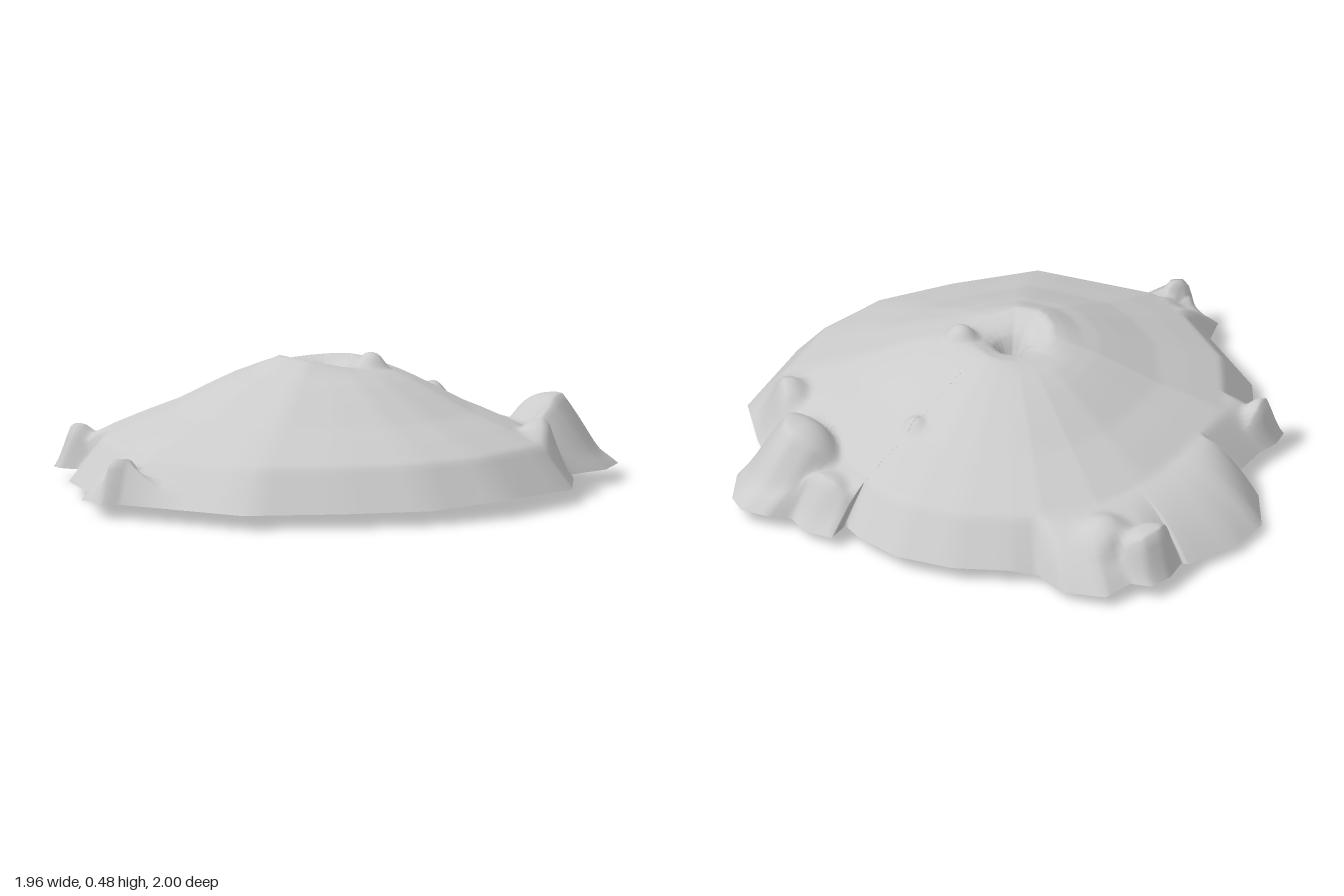
import * as THREE from 'three';

const { lerp, clamp } = THREE.MathUtils;
const CENTRE = [0.06, -0.04];
const BASE = 0.05;

// Shoreline of the whole shell, counter-clockwise from above: x, z, optional height
const SHORE = [
  [0.975, -0.07, 0.06], [0.9, -0.45], [0.73, -0.61], [0.65, -0.67], [0.65, -0.83], [0.57, -0.96], [0.5, -1],
  [0.41, -0.98], [0.34, -0.92, 0.035], [0.26, -0.95, 0.03], [0.15, -0.94, 0.04], [0.15, -0.86], [0.07, -0.89],
  [-0.11, -0.91], [-0.31, -0.85], [-0.48, -0.74], [-0.56, -0.68, 0.03], [-0.69, -0.715, 0.03], [-0.84, -0.66, 0.04],
  [-0.86, -0.55], [-0.93, -0.52], [-0.945, -0.43], [-0.9, -0.31, 0.03], [-0.925, -0.3, 0.03],
  [-0.98, -0.1, 0.03], [-0.965, 0.06, 0.03], [-0.81, 0.24, 0], [-0.715, 0.23, 0.01], [-0.71, 0.26],
  [-0.69, 0.4], [-0.7, 0.48], [-0.68, 0.55], [-0.64, 0.56], [-0.57, 0.53], [-0.4, 0.73], [-0.1, 0.88],
  [-0.06, 0.975], [0, 0.96], [0.05, 1], [0.11, 0.94], [0.57, 0.79], [0.78, 0.5], [0.93, 0.23],
];

// Foot of the central hill
const FOOT = [
  [0.975, -0.07], [0.9, -0.45], [0.73, -0.61], [0.6, -0.7], [0.3, -0.82], [0.07, -0.89], [-0.11, -0.91],
  [-0.31, -0.85], [-0.48, -0.74], [-0.58, -0.66], [-0.7, -0.45], [-0.75, -0.2], [-0.73, 0], [-0.71, 0.2],
  [-0.67, 0.42], [-0.57, 0.53], [-0.4, 0.73], [-0.1, 0.88], [0.11, 0.93], [0.57, 0.79], [0.78, 0.5], [0.93, 0.23],
];

// Hill section from the crater pit to the skirt: fraction of radius, height
const PROFILE = [
  [0, 0.27], [0.03, 0.34], [0.06, 0.41], [0.1, 0.437], [0.17, 0.455], [0.22, 0.445], [0.27, 0.43], [0.36, 0.4],
  [0.45, 0.362], [0.6, 0.295], [0.73, 0.25], [0.87, 0.197],
];
const [SKIRT, SKIRT_TOP] = PROFILE[PROFILE.length - 1];

// Knolls on and around the hill: x, z, radius x, radius z, top, bluntness, width of the outer slope
const KNOLLS = [
  [0.47, -0.76, 0.24, 0.21, 0.305, 3, 0.19],
  [0.68, -0.5, 0.17, 0.16, 0.27, 2, 0.1],
  [0.25, -0.84, 0.14, 0.13, 0.2, 3, 0.1],
  [-0.85, -0.42, 0.12, 0.13, 0.205, 4, 0.06],
  [-0.69, -0.48, 0.17, 0.17, 0.22, 2, 0.1],
  [-0.63, 0.48, 0.09, 0.11, 0.2, 2.5, 0.06],
  [0.08, 0.92, 0.05, 0.1, 0.205, 4, 0.04],
  [0.04, 0.91, 0.11, 0.1, 0.16, 1.5, 0.04],
  [0.11, -0.51, 0.13, 0.11, 0.335, 2, 0.05],
  [0.21, -0.13, 0.14, 0.13, 0.485, 2.5, 0.05],
];

// Distance from the centre to the hill foot along a direction
function footRadius(dx, dz) {
  for (let i = 0; i < FOOT.length; i++) {
    const a = FOOT[i], b = FOOT[(i + 1) % FOOT.length];
    const ax = a[0] - CENTRE[0], az = a[1] - CENTRE[1];
    const ex = b[0] - a[0], ez = b[1] - a[1];
    const det = dx * ez - dz * ex;
    if (Math.abs(det) < 1e-9) continue;
    const r = (ax * ez - az * ex) / det;
    const u = (ax * dz - az * dx) / det;
    if (r > 0 && u >= -1e-6 && u <= 1 + 1e-6) return r;
  }
  return 0.9;
}

function hillHeight(t) {
  const i = Math.max(1, PROFILE.findIndex(([end]) => t <= end));
  const [t0, y0] = PROFILE[i - 1], [t1, y1] = PROFILE[i];
  return lerp(y0, y1, (t - t0) / (t1 - t0));
}

// Maximum with a rounded join
function softMax(a, b, k) {
  const h = Math.max(k - Math.abs(a - b), 0) / k;
  return Math.max(a, b) + h * h * k * 0.25;
}

// Height at share s of the way to a shore point
function groundHeight(s, shore, foot, dx, dz) {
  const t = s * shore.len / foot, reach = shore.len / foot;
  let y;
  if (t <= SKIRT) {
    // uneven crater rim: high in front, low at the sides
    const rim = Math.max(0, 1 - Math.abs(t - 0.17) / 0.12);
    y = hillHeight(t) + rim * (0.024 * Math.max(dz, 0) - 0.015 * dx * dx);
  } else {
    // skirt falling to the shore, rounder where it spreads into a lobe
    const u = (t - SKIRT) / (reach - SKIRT);
    y = lerp(SKIRT_TOP, shore.y, u ** (1 + clamp((reach - 1) * 5, 0, 1)));
  }
  const x = CENTRE[0] + dx * shore.len * s, z = CENTRE[1] + dz * shore.len * s;
  for (const [kx, kz, rx, rz, top, blunt, slope] of KNOLLS) {
    const d = Math.hypot((x - kx) / rx, (z - kz) / rz);
    const knoll = BASE + (top - BASE) * (1 - d ** blunt);
    const fade = Math.min(1, (1 - s) / slope);
    y = softMax(y, lerp(shore.y, knoll, fade), 0.03 * fade + 1e-6);
  }
  return s === 1 ? shore.y : y;
}

// Open shell: rings spreading from the crater pit to the shoreline
function shellGeometry() {
  const SUB = 4, RINGS = 64;
  const edge = [];
  SHORE.forEach((a, i) => {
    const b = SHORE[(i + 1) % SHORE.length];
    for (let k = 0; k < SUB; k++) {
      const f = k / SUB;
      const x = lerp(a[0], b[0], f) - CENTRE[0], z = lerp(a[1], b[1], f) - CENTRE[1];
      edge.push({ x, z, y: lerp(a[2] ?? BASE, b[2] ?? BASE, f), len: Math.hypot(x, z) });
    }
  });
  const n = edge.length;
  const pos = [CENTRE[0], PROFILE[0][1], CENTRE[1]], index = [];
  for (let j = 1; j <= RINGS; j++) {
    const s = j / RINGS;
    for (const e of edge) {
      const dx = e.x / e.len, dz = e.z / e.len;
      pos.push(CENTRE[0] + e.x * s, groundHeight(s, e, footRadius(dx, dz), dx, dz), CENTRE[1] + e.z * s);
    }
  }
  for (let i = 0; i < n; i++) {
    const k = (i + 1) % n;
    index.push(0, 1 + i, 1 + k);
    for (let j = 0; j < RINGS - 1; j++) {
      const a = 1 + j * n, b = a + n;
      index.push(a + i, b + i, b + k, a + i, b + k, a + k);
    }
  }
  const g = new THREE.BufferGeometry();
  g.setAttribute('position', new THREE.Float32BufferAttribute(pos, 3));
  g.setIndex(index);
  g.computeVertexNormals();
  return g;
}

export function createModel() {
  const model = new THREE.Group();
  model.name = 'crateredMound';
  const material = new THREE.MeshStandardMaterial({ color: 0xcccccc, side: THREE.DoubleSide });
  const shell = new THREE.Mesh(shellGeometry(), material);
  shell.name = 'moundShell';
  model.add(shell);
  return model;
}
